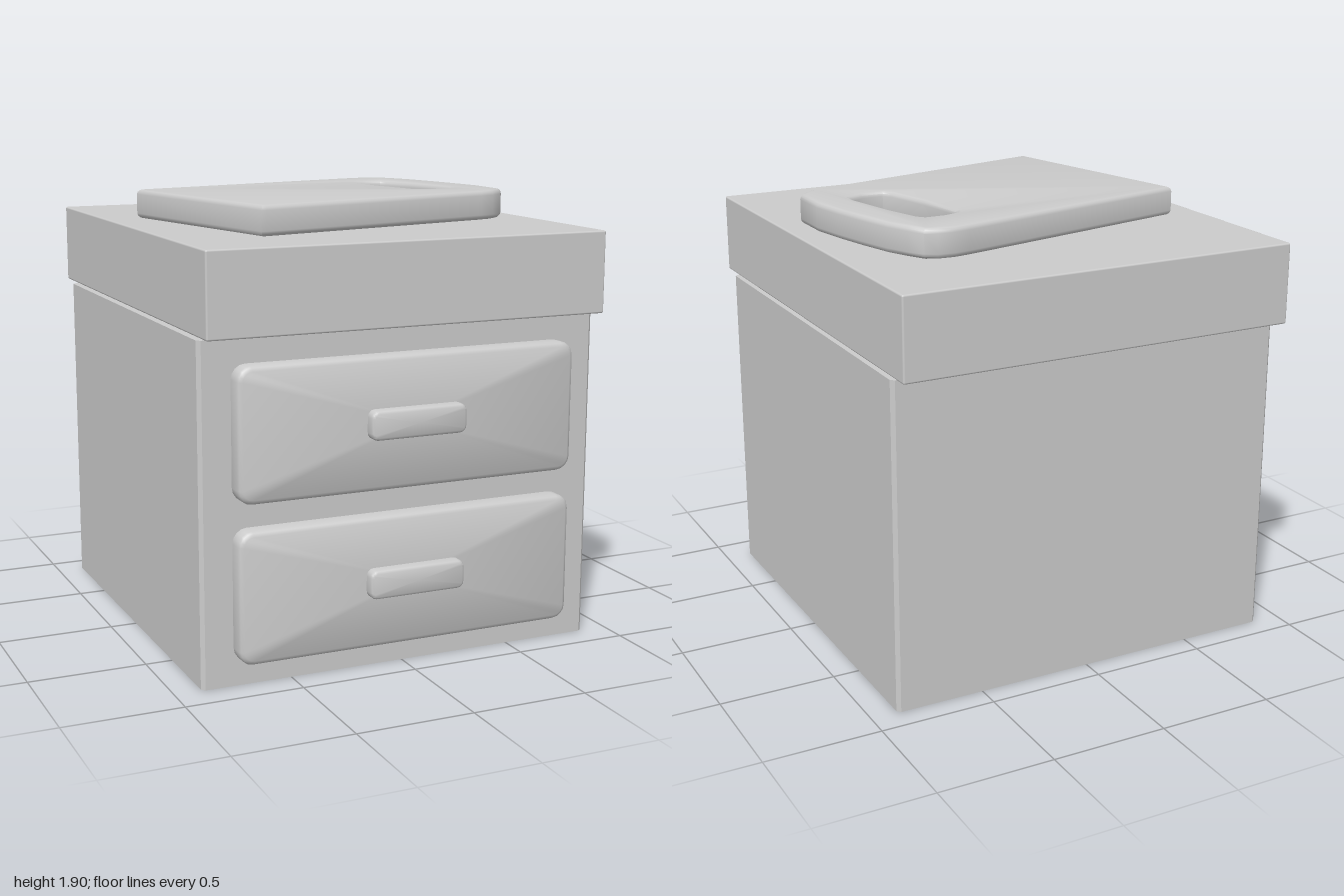
import * as THREE from 'three';
import { toCreasedNormals } from 'three/addons/utils/BufferGeometryUtils.js';
import { RoundedBoxGeometry } from 'three/addons/geometries/RoundedBoxGeometry.js';

const material = new THREE.MeshStandardMaterial({ color: 0xcccccc, side: THREE.DoubleSide });

function addMesh(parent, name, geometry) {
  const mesh = new THREE.Mesh(geometry, material);
  mesh.name = name;
  parent.add(mesh);
  return mesh;
}

// Counter-clockwise rounded rectangle, centred on the origin
function roundedRect(w, h, r, segments = 4) {
  const points = [];
  const corners = [[1, 1], [-1, 1], [-1, -1], [1, -1]];
  corners.forEach(([sx, sy], i) => {
    for (let k = 0; k <= segments; k++) {
      const a = (i + k / segments) * Math.PI / 2;
      points.push(new THREE.Vector2(
        sx * (w / 2 - r) + r * Math.cos(a),
        sy * (h / 2 - r) + r * Math.sin(a)));
    }
  });
  return points;
}

// Front panel with softened rim, open at the back; profile lists [inset, z]
function panelShell(w, h, r, profile) {
  const positions = [], index = [];
  let n = 0;
  for (const [inset, z] of profile) {
    const ring = roundedRect(w - 2 * inset, h - 2 * inset, Math.max(r - inset, 0.004));
    n = ring.length;
    ring.forEach(p => positions.push(p.x, p.y, z));
  }
  for (let j = 0; j < profile.length - 1; j++) {
    for (let i = 0; i < n; i++) {
      const a = j * n + i, b = j * n + (i + 1) % n;
      index.push(a, b, b + n, a, b + n, a + n);
    }
  }
  const last = (profile.length - 1) * n;
  positions.push(0, 0, profile[profile.length - 1][1]);
  for (let i = 0; i < n; i++) index.push(last + i, last + (i + 1) % n, last + n);
  const geometry = new THREE.BufferGeometry();
  geometry.setAttribute('position', new THREE.Float32BufferAttribute(positions, 3));
  geometry.setIndex(index);
  return toCreasedNormals(geometry, 0.7);
}

const BODY_TOP = 1.413, HALF_W = 0.885, FRONT = 0.872, BACK = -0.9, CHAMFER = 0.015;
const DRAWER_W = 1.5, DRAWER_H = 0.55, DRAWER_R = 0.06;
const DRAWER_Y = [0.378, 1.037];

// Hollow cabinet without a floor
function createCabinet() {
  const cabinet = new THREE.Group();
  cabinet.name = 'cabinet';
  const x = HALF_W, c = CHAMFER;

  // Side and back walls follow an outline around the cabinet
  const outline = [
    [x - c, FRONT], [x, FRONT - c], [x, BACK + c], [x - c, BACK],
    [c - x, BACK], [-x, BACK + c], [-x, FRONT - c], [c - x, FRONT]
  ];
  const positions = [], index = [];
  outline.forEach(([px, pz], i) => {
    positions.push(px, 0, pz, px, BODY_TOP, pz);
    const a = 2 * i;
    if (i < outline.length - 1) index.push(a, a + 2, a + 3, a, a + 3, a + 1);
  });
  const walls = new THREE.BufferGeometry();
  walls.setAttribute('position', new THREE.Float32BufferAttribute(positions, 3));
  walls.setIndex(index);
  addMesh(cabinet, 'sideAndBackWalls', toCreasedNormals(walls, 0.5));

  // Front wall with drawer openings
  const front = new THREE.Shape([
    new THREE.Vector2(c - x, 0), new THREE.Vector2(x - c, 0),
    new THREE.Vector2(x - c, BODY_TOP), new THREE.Vector2(c - x, BODY_TOP)]);
  for (const y of DRAWER_Y) {
    const hole = roundedRect(DRAWER_W, DRAWER_H, DRAWER_R).map(p => new THREE.Vector2(p.x, p.y + y));
    front.holes.push(new THREE.Path(hole));
  }
  addMesh(cabinet, 'frontWall', new THREE.ShapeGeometry(front)).position.z = FRONT;

  // Top panel below the lid
  const top = new THREE.ShapeGeometry(new THREE.Shape(outline.map(([px, pz]) => new THREE.Vector2(px, -pz))));
  top.rotateX(-Math.PI / 2);
  addMesh(cabinet, 'topPanel', top).position.y = BODY_TOP;
  return cabinet;
}

// Drawer front with its grip
function createDrawer(y) {
  const drawer = new THREE.Group();
  drawer.name = 'drawer';
  addMesh(drawer, 'drawerFront', panelShell(DRAWER_W, DRAWER_H, DRAWER_R,
    [[0, FRONT], [0, 0.932], [0.006, 0.943], [0.02, 0.951]]));
  const grip = addMesh(drawer, 'drawerHandle', panelShell(0.425, 0.122, 0.03,
    [[0, 0.945], [0, 0.985], [0.004, 0.995], [0.013, 1.0]]));
  grip.position.set(0.012, 0.004, 0);
  drawer.position.y = y;
  return drawer;
}

// Skewed board with a curved end and a hand slot, lying on the lid
function createBoard() {
  const toVectors = list => list.map(([x, z]) => new THREE.Vector2(x, z));
  const board = new THREE.Shape(toVectors([
    [-0.735, -0.325], [0.39, -0.58], [0.46, -0.59], [0.53, -0.583], [0.58, -0.56],
    [0.62, -0.49], [0.665, -0.39], [0.71, -0.23], [0.745, -0.08], [0.775, 0.08],
    [0.775, 0.27], [0.75, 0.305], [0.69, 0.35], [0.62, 0.373], [-0.5, 0.632], [-0.52, 0.63]
  ]));
  board.holes.push(new THREE.Path(toVectors([
    [0.32, -0.31], [0.335, -0.343], [0.4, -0.363], [0.48, -0.363], [0.5, -0.34],
    [0.55, -0.18], [0.605, 0.07], [0.6, 0.125], [0.53, 0.163], [0.435, 0.163],
    [0.41, 0.13], [0.355, -0.08]
  ])));
  const bevel = 0.022, thickness = 0.128;
  const geometry = new THREE.ExtrudeGeometry(board, {
    depth: thickness - 2 * bevel, bevelThickness: bevel, bevelSize: bevel,
    bevelOffset: -bevel, bevelSegments: 3
  });
  geometry.rotateX(Math.PI / 2);
  geometry.translate(0, 1.897 - bevel, 0);
  return toCreasedNormals(geometry, 0.65);
}

export function createModel() {
  const model = new THREE.Group();
  model.name = 'drawerCabinet';
  model.add(createCabinet());
  for (const y of DRAWER_Y) model.add(createDrawer(y));

  // Lid overhangs at front and back
  const lid = addMesh(model, 'lid', new RoundedBoxGeometry(1.76, 0.346, 1.965, 2, 0.008));
  lid.position.set(0, 1.597, -0.0175);

  addMesh(model, 'board', createBoard());
  return model;
}
